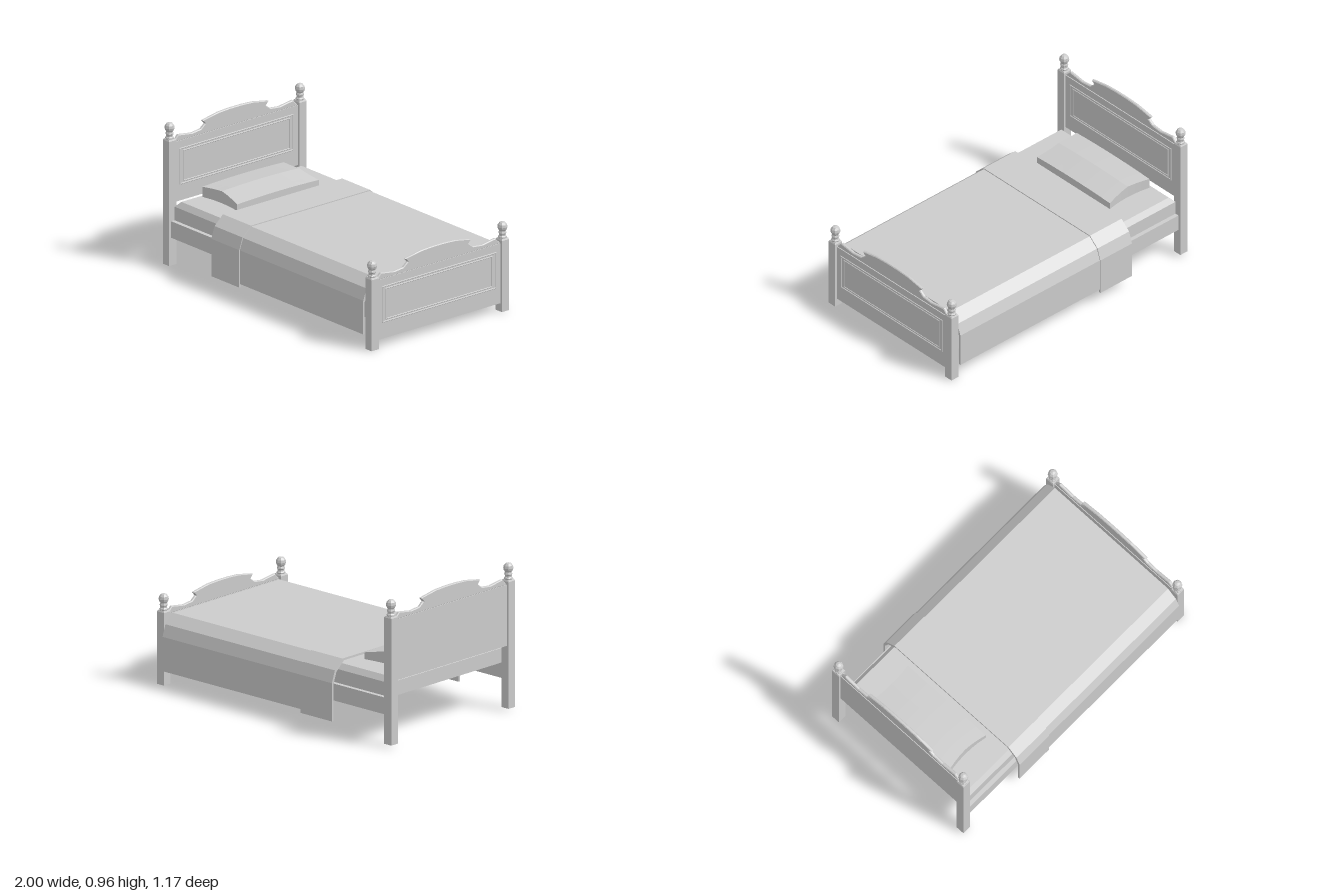
import * as THREE from 'three';

const flat = new THREE.MeshStandardMaterial({ color: 0xcccccc, flatShading: true });

function add(parent, name, geometry) {
  const mesh = new THREE.Mesh(geometry, flat);
  mesh.name = name;
  parent.add(mesh);
  return mesh;
}

// Box given by its lower and upper corners
function box(x0, x1, y0, y1, z0, z1) {
  return new THREE.BoxGeometry(x1 - x0, y1 - y0, z1 - z0)
    .translate((x0 + x1) / 2, (y0 + y1) / 2, (z0 + z1) / 2);
}

// Shape from a half outline [z, y], mirrored about z = 0
function mirrored(half) {
  const other = half.map(([z, y]) => [-z, y]).reverse();
  return new THREE.Shape([...half, ...other].map(([z, y]) => new THREE.Vector2(z, y)));
}

// Extrude a z-y shape along +x, starting at x0
function extrudeX(shape, x0, depth, bevel = 0) {
  return new THREE.ExtrudeGeometry(shape, {
    depth: depth - 2 * bevel, bevelEnabled: bevel > 0, bevelSize: bevel,
    bevelThickness: bevel, bevelOffset: -bevel, bevelSegments: 1,
  }).rotateY(Math.PI / 2).translate(x0 + bevel, 0, 0);
}

function rectangle(z, y0, y1) {
  return mirrored([[z, y0], [z, y1]]);
}

// Raised rectangular moulding ring
function moulding(z, y0, y1, width, x0, depth) {
  const ring = rectangle(z, y0, y1);
  ring.holes.push(rectangle(z - width, y0 + width, y1 - width));
  return extrudeX(ring, x0, depth, 0.002);
}

// Turned ball finial, measured up from the post top
const finialProfile = [
  [0.026, 0], [0.028, 0.01], [0.022, 0.018], [0.022, 0.028], [0.026, 0.034], [0.024, 0.042],
  [0.021, 0.048], [0.028, 0.06], [0.032, 0.074], [0.029, 0.091], [0.018, 0.105], [0, 0.11],
].map(([r, y]) => new THREE.Vector2(r, y));

// Board between two posts; lift raises everything except the post feet
function createEndBoard(name, x, lift, footY) {
  const end = new THREE.Group();
  end.name = name;

  for (const side of [1, -1]) {
    const z = side * 0.535;
    const top = 0.472 + lift;
    add(end, 'post', box(-0.03, 0.03, footY, top, z - 0.03, z + 0.03));
    const cap = new THREE.CylinderGeometry(0.025 * Math.SQRT2, 0.03 * Math.SQRT2, 0.01, 4).rotateY(Math.PI / 4);
    add(end, 'postCap', cap).position.set(0, top + 0.005, z);
    add(end, 'finial', new THREE.LatheGeometry(finialProfile, 8)).position.set(0, 0.48 + lift, z);
  }

  add(end, 'panel', box(-0.015, 0.015, 0.055 + lift, 0.453 + lift, -0.51, 0.51));
  const crest = mirrored([
    [0.506, 0.45], [0.506, 0.457], [0.47, 0.493], [0.36, 0.477], [0.285, 0.485],
    [0.25, 0.513], [0.272, 0.538], [0.14, 0.562], [0.05, 0.567],
  ].map(([z, y]) => [z, y + lift]));
  add(end, 'crest', extrudeX(crest, -0.011, 0.022, 0.005));
  add(end, 'outerMoulding', moulding(0.468, 0.162 + lift, 0.405 + lift, 0.009, 0.014, 0.007));
  add(end, 'innerMoulding', moulding(0.44, 0.178 + lift, 0.387 + lift, 0.008, 0.014, 0.006));

  end.position.x = x;
  return end;
}

// Thin draped sheet following a half profile [z, y] from hem to top
function drape(half, x0, x1, t) {
  const inner = half.map(([z, y], i) => [z - t, i === 0 ? y : y - t]);
  const flip = (list) => list.map(([z, y]) => [-z, y]).reverse();
  const outline = [...half, ...flip(half), ...flip(inner).reverse(), ...inner.reverse()];
  return extrudeX(new THREE.Shape(outline.map(([z, y]) => new THREE.Vector2(z, y))), x0, x1 - x0);
}

// Mattress with a chamfered upper edge
function mattressGeometry() {
  const g = new THREE.BoxGeometry(1.88, 0.13, 1.04, 1, 2, 1).translate(0, 0.37, 0);
  const p = g.attributes.position;
  for (let i = 0; i < p.count; i++) {
    const y = p.getY(i);
    if (y > 0.43) p.setXYZ(i, Math.sign(p.getX(i)) * 0.905, y, Math.sign(p.getZ(i)) * 0.493);
    else if (y > 0.35) p.setY(i, 0.4);
  }
  return g;
}

// Pillow with pinched ends, a soft crown and a lower front edge
function pillowGeometry() {
  const g = new THREE.BoxGeometry(0.335, 1, 0.67, 6, 1, 8);
  const p = g.attributes.position;
  for (let i = 0; i < p.count; i++) {
    const u = p.getX(i) / 0.1675;
    const v = p.getZ(i) / 0.335;
    const ridge = u < 0 ? 0.523 + 0.013 * u : 0.523 - 0.036 * u;
    const top = ridge - 0.008 * v * v;
    p.setXYZ(i, p.getX(i) - 0.7225, p.getY(i) > 0 ? top : 0.432, p.getZ(i) * (0.945 + 0.055 * u * u));
  }
  return g;
}

export function createModel() {
  const bed = new THREE.Group();
  bed.name = 'bed';

  bed.add(createEndBoard('headboard', -0.97, 0.368, 0.015));
  bed.add(createEndBoard('footboard', 0.97, 0, 0));

  // Side rails carry the mattress; the underside between them is open
  for (const side of [1, -1]) {
    add(bed, 'sideRail', box(-0.942, 0.942, 0.2, 0.31, -0.016, 0.016)).position.z = side * 0.532;
  }
  add(bed, 'mattress', mattressGeometry());
  add(bed, 'pillow', pillowGeometry());

  // Blanket and its folded-over band
  const blanket = [[0.58, 0.098], [0.58, 0.322], [0.553, 0.398], [0.486, 0.458]];
  add(bed, 'blanket', drape(blanket, -0.26, 0.938, 0.012));
  const fold = [[0.585, 0.075], [0.585, 0.324], [0.558, 0.402], [0.489, 0.464]];
  add(bed, 'blanketFold', drape(fold, -0.512, -0.244, 0.014));

  return bed;
}
